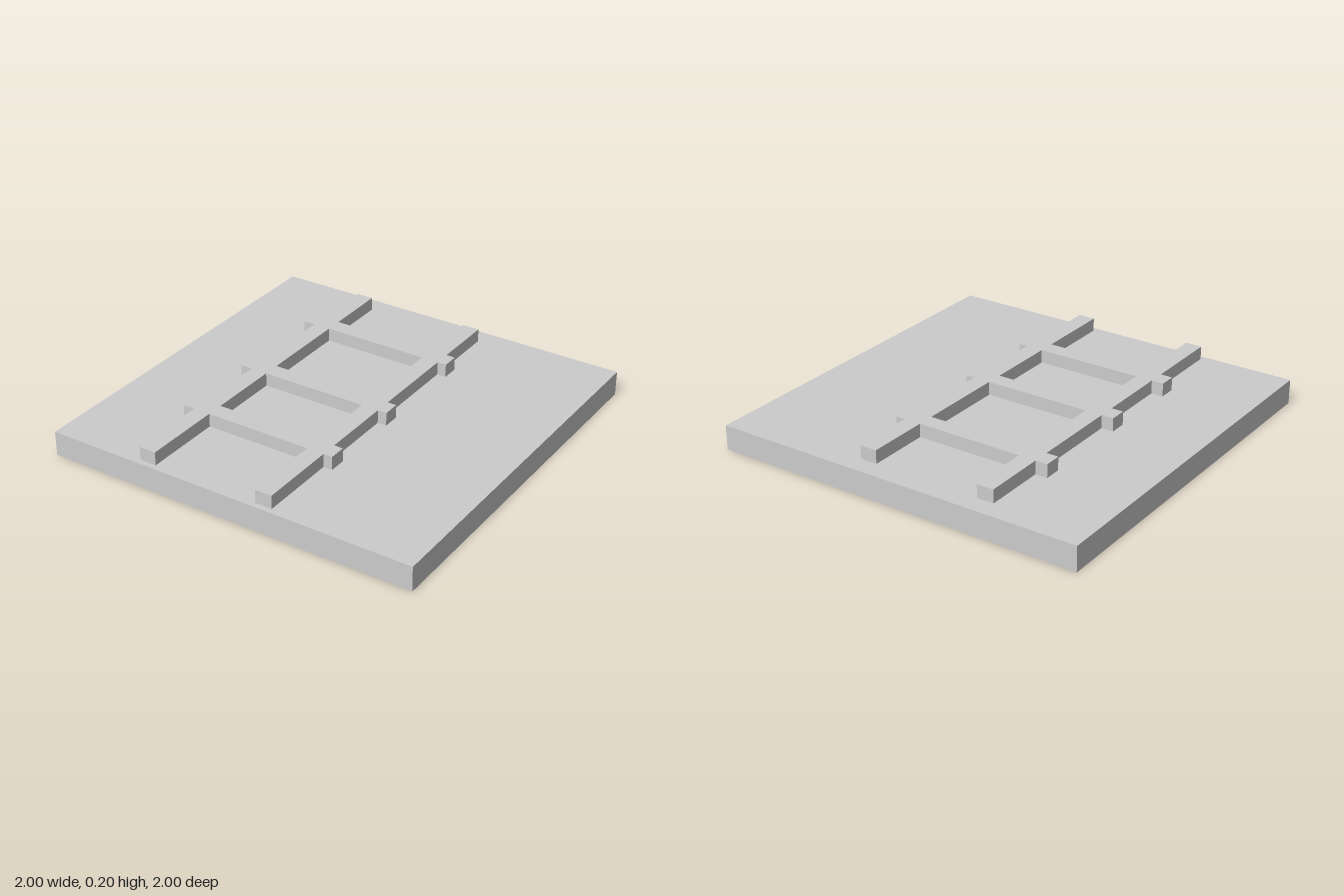
import * as THREE from 'three';

const BASE_TOP = 0.13, LADDER_TOP = 0.2;

// Plan dimensions of the ladder, in shape space where y = -z
const FRONT = -0.97, BACK = 0.9;
const RUNGS = [[-0.555, -0.465], [-0.085, 0.005], [0.48, 0.57]];
const LEFT = { inner: 0.157, outer: 0.248, tip: 0.296 };
const RIGHT = { inner: -0.41, outer: -0.5, tip: -0.564 };

// Outer edge of one rail from front to back, stepping out around each rung end
function railEdge({ outer, tip }) {
  const points = [[outer, FRONT]];
  for (const [y0, y1] of RUNGS) points.push([outer, y0], [tip, y0], [tip, y1], [outer, y1]);
  points.push([outer, BACK]);
  return points;
}

const toVectors = (points) => points.map(([x, y]) => new THREE.Vector2(x, y));

// Ladder as one flush outline with an opening between each pair of rungs
function ladderGeometry() {
  const firstFront = RUNGS[0][0], lastBack = RUNGS[RUNGS.length - 1][1];
  const shape = new THREE.Shape(toVectors([
    ...railEdge(LEFT),
    [LEFT.inner, BACK], [LEFT.inner, lastBack], [RIGHT.inner, lastBack], [RIGHT.inner, BACK],
    ...railEdge(RIGHT).reverse(),
    [RIGHT.inner, FRONT], [RIGHT.inner, firstFront], [LEFT.inner, firstFront], [LEFT.inner, FRONT],
  ]));
  for (let i = 0; i + 1 < RUNGS.length; i++) {
    const y0 = RUNGS[i][1], y1 = RUNGS[i + 1][0];
    shape.holes.push(new THREE.Path(toVectors([
      [RIGHT.inner, y0], [RIGHT.inner, y1], [LEFT.inner, y1], [LEFT.inner, y0],
    ])));
  }
  const geometry = new THREE.ExtrudeGeometry(shape, { depth: LADDER_TOP - BASE_TOP, bevelEnabled: false });
  return geometry.rotateX(-Math.PI / 2).translate(0, BASE_TOP, 0);
}

export function createModel() {
  const model = new THREE.Group();
  model.name = 'ladderTile';
  const material = new THREE.MeshStandardMaterial({ color: 0xcccccc });

  // Square slab
  const base = new THREE.Mesh(new THREE.BoxGeometry(2, BASE_TOP, 2), material);
  base.name = 'base';
  base.position.y = BASE_TOP / 2;

  // Raised ladder lying on the slab
  const ladder = new THREE.Mesh(ladderGeometry(), material);
  ladder.name = 'ladder';

  model.add(base, ladder);
  return model;
}
